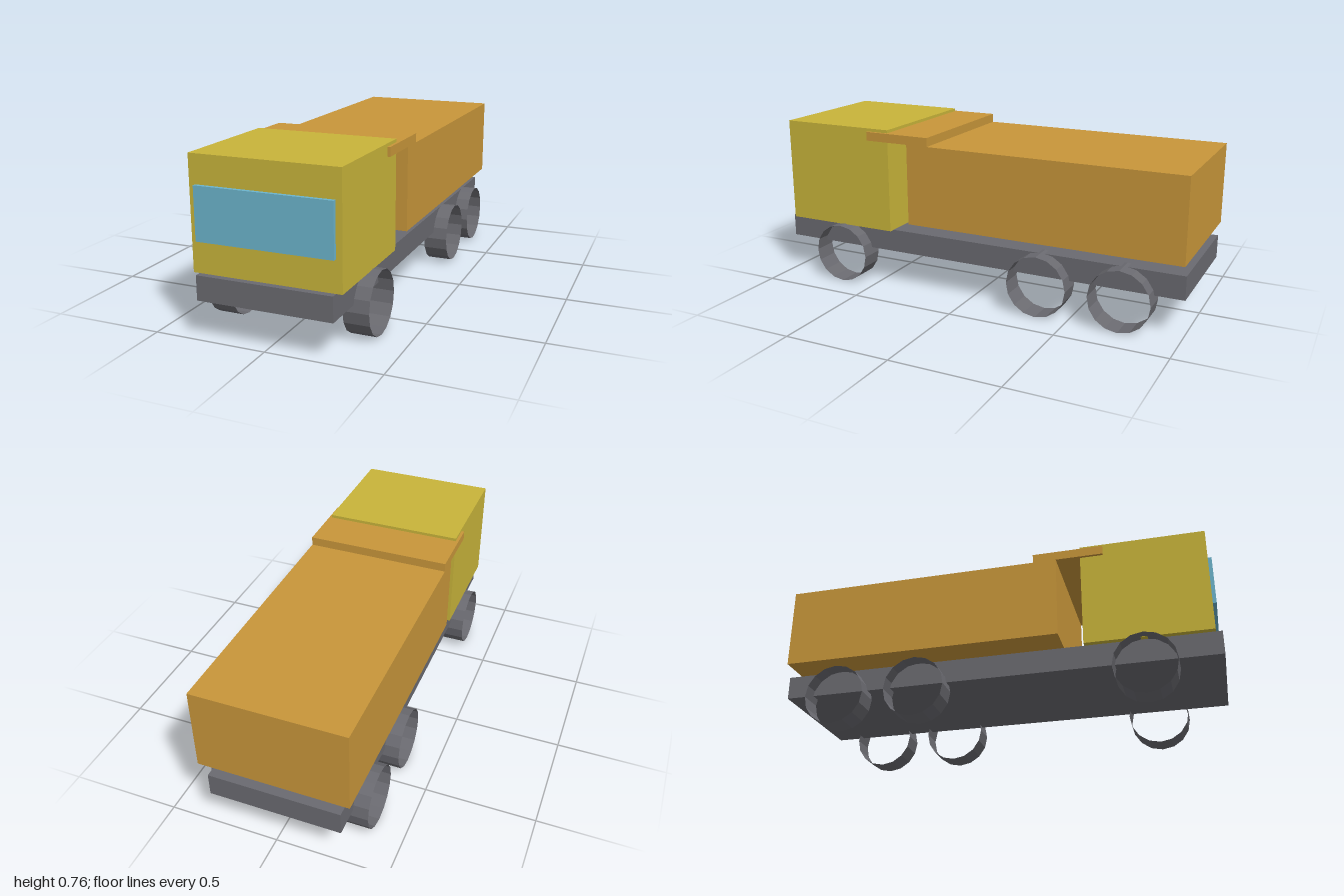
import * as THREE from 'three';

function material(name, color, options = {}) {
  const m = new THREE.MeshStandardMaterial({ color, ...options });
  m.name = name;
  return m;
}

export function createModel() {
  const truck = new THREE.Group();
  truck.name = 'truck';

  const yellow = material('cabYellow', 0xc8b43a);
  const orange = material('cargoOrange', 0xc8963a);
  const blue = material('glassBlue', 0x6cb4cc);
  const grey = material('chassisGrey', 0x6a6a70, { flatShading: true, side: THREE.DoubleSide });

  // Box centred on x, given by half width and its y and z limits
  function block(name, mat, halfWidth, y0, y1, z0, z1) {
    const mesh = new THREE.Mesh(new THREE.BoxGeometry(halfWidth * 2, y1 - y0, z1 - z0), mat);
    mesh.position.set(0, (y0 + y1) / 2, (z0 + z1) / 2);
    mesh.name = name;
    truck.add(mesh);
  }

  block('chassis', grey, 0.297, 0.17, 0.277, -1, 1);
  block('cab', yellow, 0.324, 0.277, 0.764, 0.41, 0.972);
  block('windscreen', blue, 0.297, 0.413, 0.641, 0.97, 0.989);
  block('cargoBox', orange, 0.337, 0.331, 0.709, -1, 0.3);
  block('cabShield', orange, 0.337, 0.709, 0.75, 0.193, 0.515);

  // Open wheel rims, three axles
  const wheelGeometry = new THREE.CylinderGeometry(0.14, 0.14, 0.114, 16, 1, true);
  wheelGeometry.rotateZ(Math.PI / 2);
  const axles = { front: 0.672, middle: -0.355, rear: -0.735 };
  for (const [axle, z] of Object.entries(axles)) {
    for (const side of [-1, 1]) {
      const wheel = new THREE.Mesh(wheelGeometry, grey);
      wheel.position.set(side * 0.308, 0.14, z);
      wheel.name = axle + (side > 0 ? 'LeftWheel' : 'RightWheel');
      truck.add(wheel);
    }
  }

  return truck;
}
